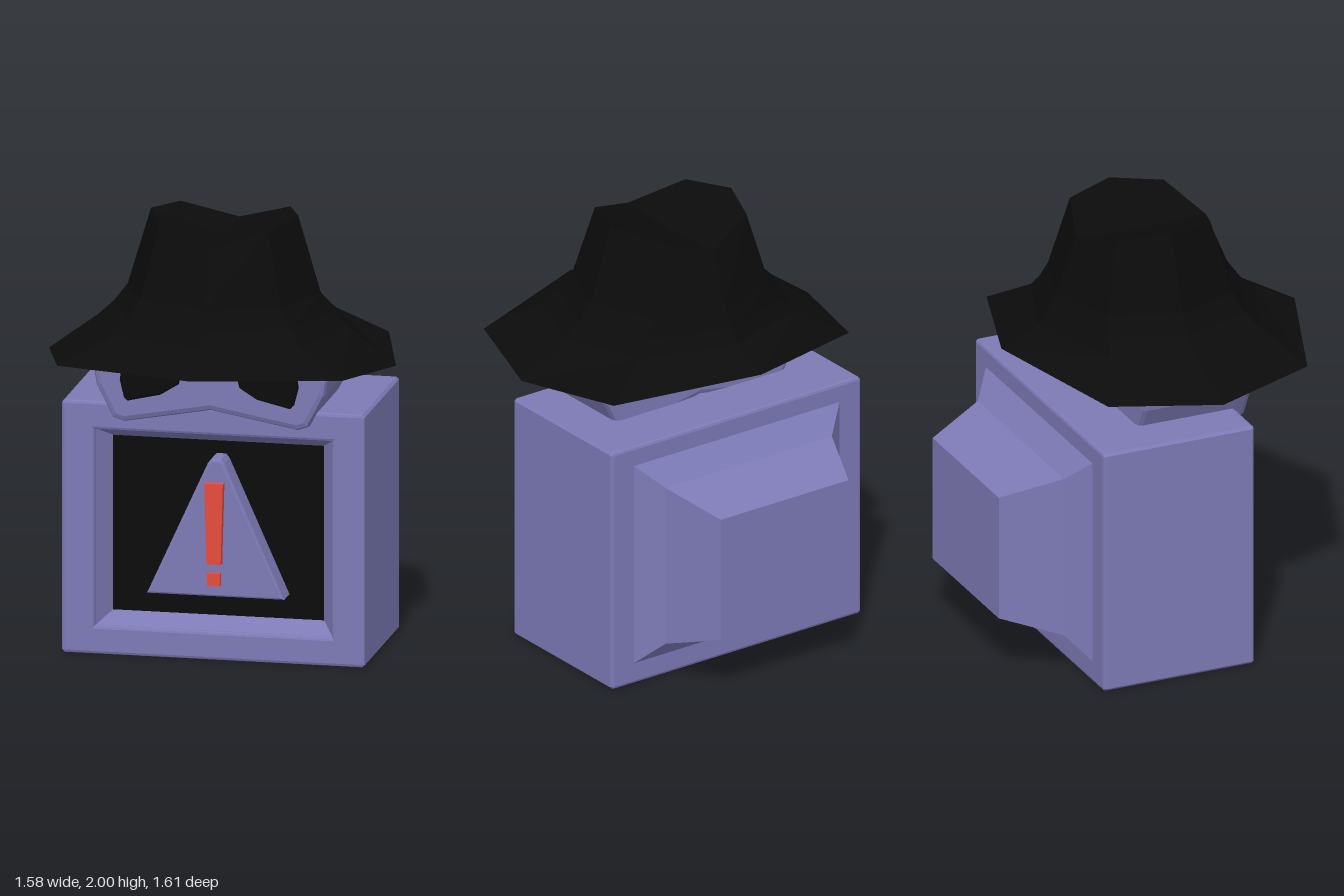
import * as THREE from 'three';

const mat = (color, side = THREE.FrontSide) =>
  new THREE.MeshStandardMaterial({ color, flatShading: true, side });
const purple = mat(0x7d7ab6), black = mat(0x0b0b0b), red = mat(0xe74c3c);
const felt = mat(0x0b0b0b, THREE.DoubleSide);

const shapeOf = (pts) => new THREE.Shape(pts.map(([x, y]) => new THREE.Vector2(x, y)));

// Rectangle with slightly cut corners, counter-clockwise
const cutRect = (x, y0, y1, c) => [
  [-x + c, y0], [x - c, y0], [x, y0 + c], [x, y1 - c],
  [x - c, y1], [-x + c, y1], [-x, y1 - c], [-x, y0 + c],
];

// Prism from z0 to z1 with an inset bevel
function prism(shape, z0, z1, bevel = 0) {
  const g = new THREE.ExtrudeGeometry(shape, {
    depth: z1 - z0 - 2 * bevel, bevelEnabled: bevel > 0,
    bevelSize: bevel, bevelThickness: bevel, bevelOffset: -bevel, bevelSegments: 2,
  });
  return g.translate(0, 0, z0 + bevel);
}

// Skin through equal rings of [x, y, z]; an end point closes the last ring
function loft(rings, end) {
  const n = rings[0].length, pos = rings.flat(2), index = [];
  for (let i = 0; i < rings.length - 1; i++) {
    for (let j = 0; j < n; j++) {
      const a = i * n + j, b = i * n + (j + 1) % n;
      index.push(a, b, b + n, a, b + n, a + n);
    }
  }
  if (end) {
    const last = (rings.length - 1) * n;
    for (let j = 0; j < n; j++) index.push(rings.length * n, last + j, last + (j + 1) % n);
    pos.push(...end);
  }
  const g = new THREE.BufferGeometry();
  g.setAttribute('position', new THREE.Float32BufferAttribute(pos, 3));
  g.setIndex(index);
  g.computeVertexNormals();
  return g;
}

const rectRing = (x, y0, y1, z) => [[-x, y0, z], [x, y0, z], [x, y1, z], [-x, y1, z]];

// Full ring from its front-to-back right half
const mirrorRing = (half) =>
  [...half, ...half.slice(1, -1).reverse().map(([x, y, z]) => [-x, y, z])];

export function createModel() {
  const model = new THREE.Group();
  const add = (name, geometry, material) => {
    const mesh = new THREE.Mesh(geometry, material);
    mesh.name = name;
    model.add(mesh);
  };

  // Monitor case, open at the front
  const caseShape = shapeOf(cutRect(0.69, 0, 1.16, 0.012));
  caseShape.holes.push(new THREE.Path(
    [[-0.54, 0.13], [-0.54, 1.03], [0.54, 1.03], [0.54, 0.13]].map(([x, y]) => new THREE.Vector2(x, y))));
  add('monitorCase', prism(caseShape, -0.45, 0.29, 0.014), purple);

  // Sloping bezel and sunken screen
  add('screenBezel', loft([rectRing(0.554, 0.116, 1.044, 0.29), rectRing(0.48, 0.18, 0.98, 0.17)]), purple);
  add('screen', new THREE.PlaneGeometry(0.97, 0.81).translate(0, 0.58, 0.171), black);

  // Tapered rear housing
  add('rearHousing', loft([
    rectRing(0.57, 0.10, 1.07, -0.449),
    rectRing(0.46, 0.20, 0.965, -0.54),
    rectRing(0.353, 0.29, 0.88, -0.81),
  ].map((r) => r.reverse()), [0, 0.585, -0.81]), purple);

  // Warning sign
  add('warningTriangle', prism(shapeOf([
    [-0.30, 0.295], [0.325, 0.295], [0.053, 0.905], [0.037, 0.925], [-0.007, 0.925], [-0.023, 0.905],
  ]), 0.17, 0.303, 0.012), purple);
  add('exclamationBar', prism(shapeOf([[-0.02, 0.45], [0.045, 0.45], [0.055, 0.82], [-0.03, 0.82]]), 0.29, 0.337), red);
  add('exclamationDot', prism(shapeOf([[-0.02, 0.35], [0.04, 0.35], [0.04, 0.407], [-0.02, 0.407]]), 0.29, 0.327), red);

  // Mask-shaped head, notched at the middle
  const halfMask = [[0.05, 1.15], [0.395, 1.088], [0.445, 1.105], [0.52, 1.25],
    [0.532, 1.32], [0.505, 1.40], [0.44, 1.47]];
  add('head', prism(shapeOf([
    [0, 1.16], ...halfMask, [0, 1.46], ...halfMask.slice().reverse().map(([x, y]) => [-x, y]),
  ]), -0.185, 0.357, 0.027), purple);

  // Eyes
  const eye = [[0.13, 1.32], [0.14, 1.28], [0.22, 1.23], [0.37, 1.195], [0.385, 1.21],
    [0.405, 1.29], [0.39, 1.38], [0.27, 1.41], [0.155, 1.375]];
  add('leftEye', prism(shapeOf(eye), 0.30, 0.39, 0.008), black);
  add('rightEye', prism(shapeOf(eye.map(([x, y]) => [-x, y]).reverse()), 0.30, 0.39, 0.008), black);

  // Eight-sided hat: drooping brim, crown and pinched top
  const hatRings = [
    [[0, 1.405, 0.80], [0.65, 1.385, 0.565], [0.79, 1.345, 0.09], [0.65, 1.372, -0.41], [0, 1.43, -0.635]],
    [[0, 1.505, 0.60], [0.43, 1.50, 0.44], [0.57, 1.505, 0.06], [0.43, 1.50, -0.30], [0, 1.51, -0.45]],
    [[0, 1.56, 0.535], [0.37, 1.565, 0.39], [0.50, 1.57, 0.05], [0.37, 1.565, -0.28], [0, 1.57, -0.41]],
    [[0, 1.65, 0.47], [0.32, 1.65, 0.35], [0.44, 1.65, 0.05], [0.32, 1.65, -0.26], [0, 1.65, -0.37]],
    [[0, 1.90, 0.365], [0.25, 1.98, 0.275], [0.335, 2.0, 0.045], [0.25, 1.98, -0.185], [0, 1.90, -0.27]],
  ];
  add('hat', loft(hatRings.map(mirrorRing), [0, 1.89, 0.045]), felt);

  return model;
}
